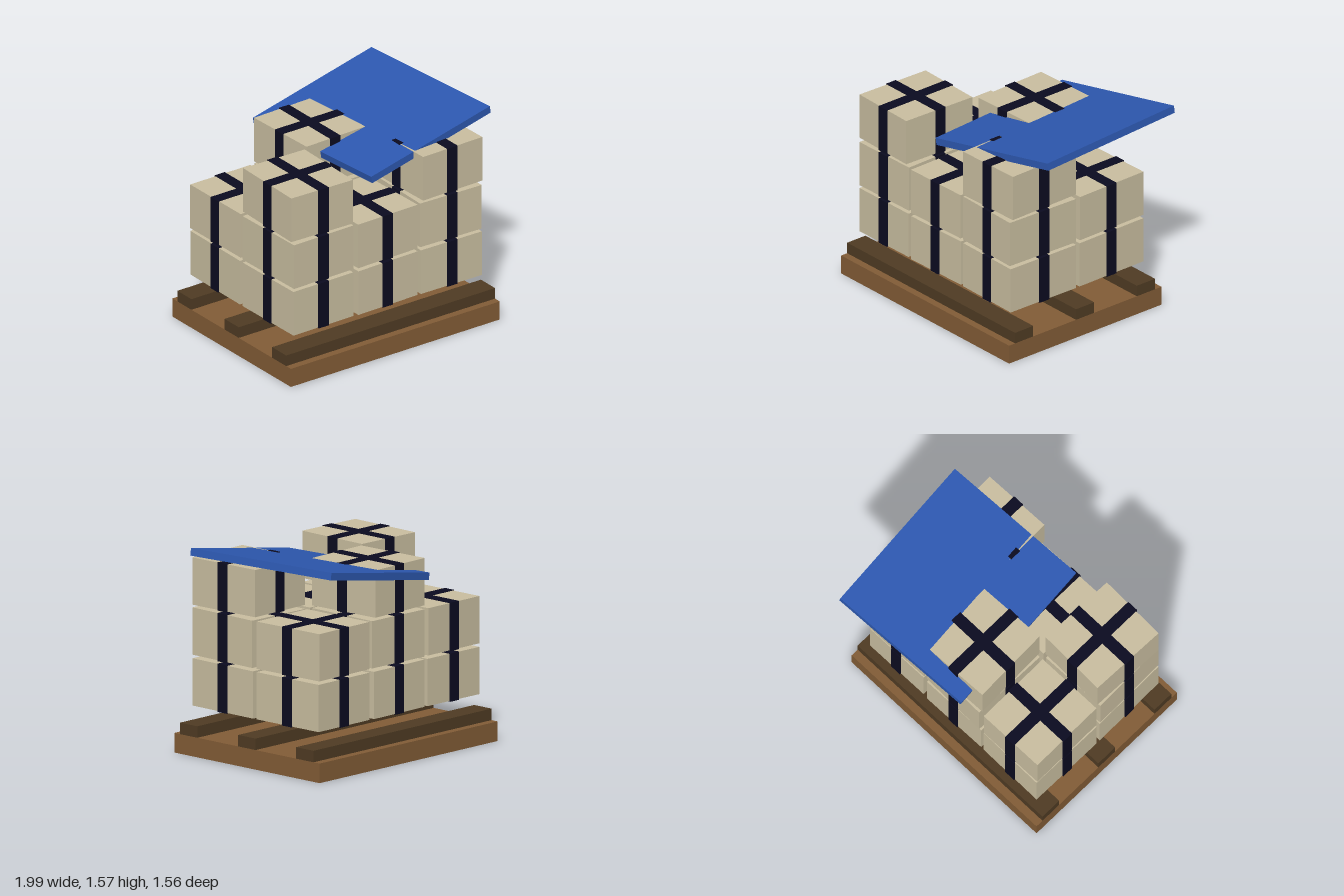
import * as THREE from 'three';

const paint = (name, color) => {
  const m = new THREE.MeshStandardMaterial({ color });
  m.name = name;
  return m;
};

function block(name, size, position, material) {
  const mesh = new THREE.Mesh(new THREE.BoxGeometry(...size), material);
  mesh.name = name;
  mesh.position.set(...position);
  return mesh;
}

export function createModel() {
  const wood = paint('wood', 0x825c36);
  const darkWood = paint('darkWood', 0x4f3b23);
  const cardboard = paint('cardboard', 0xc9bea0);
  const navy = paint('strapNavy', 0x0b0b20);
  const blue = paint('tarpBlue', 0x2d58b0);

  const model = new THREE.Group();
  model.name = 'loadedPallet';

  // Pallet deck with three cross slats
  const pallet = new THREE.Group();
  pallet.name = 'pallet';
  pallet.add(block('deck', [1.872, 0.145, 1.442], [-0.064, 0.0725, 0.059], wood));
  for (const z of [0.637, 0.06, -0.515]) {
    pallet.add(block('slat', [1.872, 0.085, 0.172], [-0.064, 0.1875, z], darkWood));
  }
  model.add(pallet);

  // Slight turn of each crate: [level][row front, back][column left to right]; null leaves a gap
  const turns = [
    [[0.01, 0.025, -0.015], [-0.01, 0.015, 0.01]],
    [[0.02, 0.02, -0.03], [0.006, -0.02, 0.02]],
    [[-0.03, null, 0.025], [null, 0.035, null]],
  ];
  const columns = [-0.64, -0.065, 0.515];
  const rows = [0.378, -0.26];

  turns.forEach((level, i) => level.forEach((row, j) => row.forEach((turn, k) => {
    if (turn === null) return;
    const crate = new THREE.Group();
    crate.name = 'strappedCrate';
    crate.position.set(columns[k], 0.5225 + i * 0.375, rows[j]);
    const body = block('crate', [0.54, 0.35, 0.61], [0, 0, 0], cardboard);
    body.rotation.y = turn;
    crate.add(body);
    // Straps stay square to the pallet and wrap all around
    crate.add(block('strapAcross', [0.558, 0.358, 0.09], [0, 0, 0], navy));
    crate.add(block('strapLengthwise', [0.09, 0.358, 0.628], [0, 0, 0], navy));
    model.add(crate);
  })));

  // Tilted tarp sheet resting on the top crates
  const tarp = block('tarp', [1.155, 0.055, 1.295], [0.365, 1.447, -0.087], blue);
  tarp.rotation.set(0, 0.085, 0.175, 'YXZ');
  model.add(tarp);

  return model;
}
